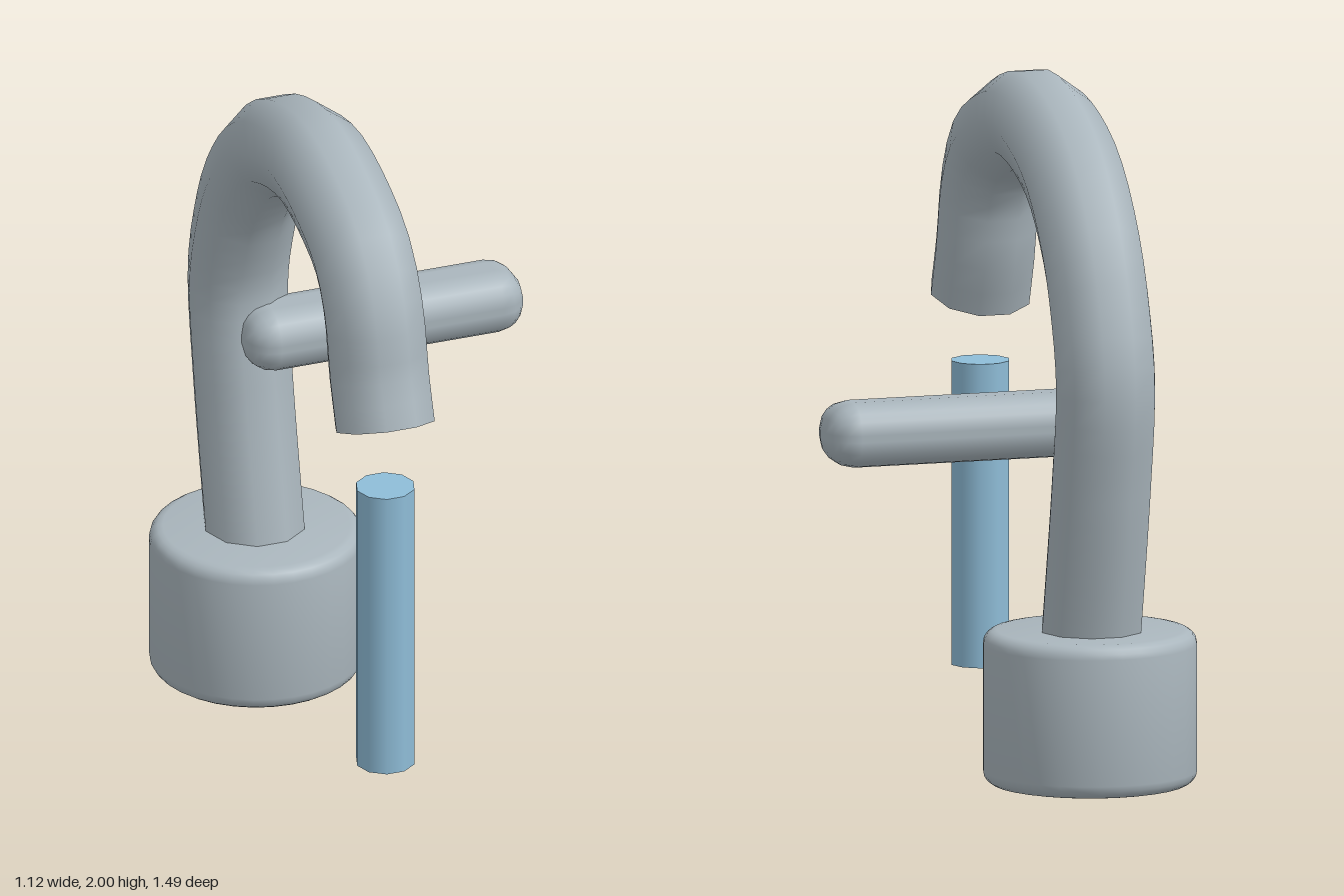
import * as THREE from 'three';
import { toCreasedNormals } from 'three/addons/utils/BufferGeometryUtils.js';
import { RoundedBoxGeometry } from 'three/addons/geometries/RoundedBoxGeometry.js';

const X = -0.253; // shared centre line of base, spout and water

export function createModel() {
  const group = new THREE.Group();
  const metal = new THREE.MeshStandardMaterial({ color: 0xaab6bd });
  metal.name = 'brushed metal';
  const water = new THREE.MeshStandardMaterial({ color: 0x8fbdd8 });
  water.name = 'water blue';

  const add = (name, geometry, material, x = 0, y = 0, z = 0) => {
    const mesh = new THREE.Mesh(geometry, material);
    mesh.name = name;
    mesh.position.set(x, y, z);
    group.add(mesh);
    return mesh;
  };

  // Round base with softened rims
  const R = 0.31, H = 0.45, b = 0.04;
  const profile = [new THREE.Vector2(0, 0)];
  for (let i = 0; i <= 4; i++) {
    const a = (i / 4) * Math.PI / 2;
    profile.push(new THREE.Vector2(R - b + b * Math.sin(a), b - b * Math.cos(a)));
  }
  for (let i = 0; i <= 4; i++) {
    const a = (i / 4) * Math.PI / 2;
    profile.push(new THREE.Vector2(R - b + b * Math.cos(a), H - b + b * Math.sin(a)));
  }
  profile.push(new THREE.Vector2(0, H));
  add('base', toCreasedNormals(new THREE.LatheGeometry(profile, 32), 0.6), metal, X, 0, -0.43);

  // Curved ten-sided spout, given as [z, y] along its centre line
  const path = new THREE.CatmullRomCurve3([
    [-0.4, 0.25], [-0.445, 0.45], [-0.54, 0.9], [-0.578, 1.19], [-0.53, 1.385],
    [-0.437, 1.574], [-0.25, 1.763], [0.07, 1.857], [0.34, 1.785], [0.445, 1.715],
    [0.52, 1.59], [0.562, 1.41], [0.611, 1.268],
  ].map(([z, y]) => new THREE.Vector3(0, y, z)));
  add('spout', new THREE.TubeGeometry(path, 40, 0.15, 10), metal, X);

  // Flat mouth closing the spout
  const end = path.getPoint(1);
  const mouth = add('spoutMouth', new THREE.CircleGeometry(0.15, 10), metal, X, end.y, end.z);
  mouth.quaternion.setFromUnitVectors(new THREE.Vector3(0, 0, 1), path.getTangent(1));

  // Rounded side lever
  add('handle', new RoundedBoxGeometry(0.857, 0.19, 0.224, 2, 0.085), metal, 0.128, 1.06, -0.43);

  // Falling water column
  add('waterStream', new THREE.CylinderGeometry(0.087, 0.087, 0.89, 10).rotateY(Math.PI / 2),
    water, X, 0.625, 0.612);

  return group;
}
